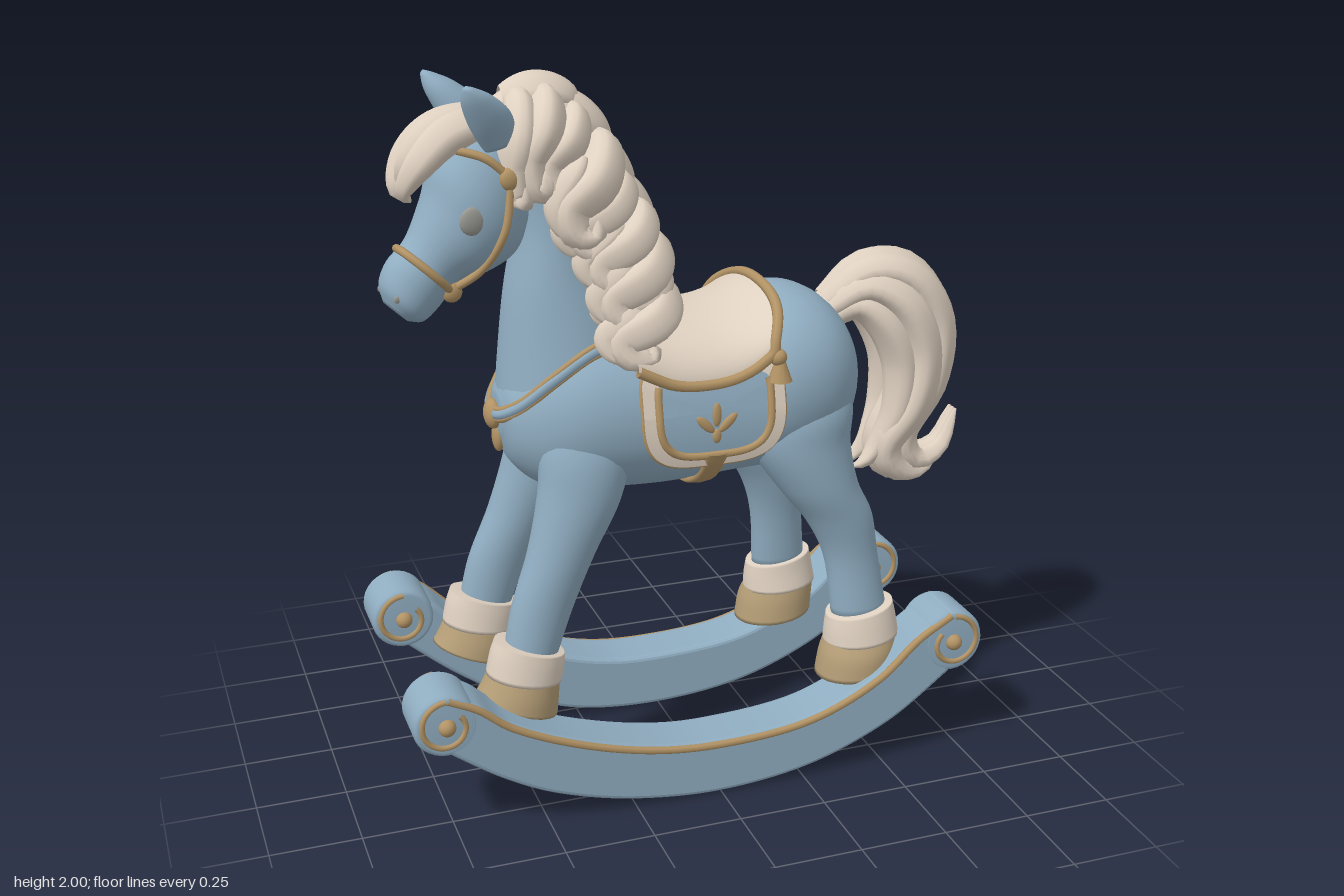
import * as THREE from 'three';
import { mergeVertices } from 'three/addons/utils/BufferGeometryUtils.js';

const mat = (name, color) => Object.assign(
  new THREE.MeshStandardMaterial({ color, side: THREE.DoubleSide }), { name });
const V = (x, y, z = 0) => new THREE.Vector3(x, y, z);
const spline = pts => new THREE.CatmullRomCurve3(pts.map(p => V(...p)), false, 'catmullrom', 0.5);

export function createModel() {
  const blue = mat('paintedBlue', 0x90adc1), cream = mat('cream', 0xdfd1c1);
  const gold = mat('gold', 0xb29365), tan = mat('hoofTan', 0xb59e77), grey = mat('eyeGrey', 0x9a9a94);
  const model = new THREE.Group();
  model.name = 'rockingHorse';

  const add = (name, geo, material, parent = model) => {
    const m = new THREE.Mesh(geo, material);
    m.name = name;
    parent.add(m);
    return m;
  };
  const ball = (name, p, r, material, parent = model, sx = 1, sy = 1, sz = 1) => {
    const m = add(name, new THREE.SphereGeometry(r, 16, 12), material, parent);
    m.position.copy(p);
    m.scale.set(sx, sy, sz);
    return m;
  };

  // Closed loft through oval sections [x1, y1, x2, y2, halfWidth, z]
  function loft(rows, steps = 6, power = 1, sides = 28) {
    const n = rows.length - 1;
    const A = spline(rows.map(r => [r[0], r[1], r[4]])), B = spline(rows.map(r => [r[2], r[3], r[5] || 0]));
    const pw = v => Math.sign(v) * Math.abs(v) ** power;
    const at = (s, deg, grow = 1) => {
      const a = A.getPoint(s / n), b = B.getPoint(s / n), q = deg * Math.PI / 180;
      const c = pw(Math.cos(q)) * grow / 2, w = Math.max(a.z, 0.002) * pw(Math.sin(q)) * grow;
      return V((a.x + b.x) / 2 + (a.x - b.x) * c, (a.y + b.y) / 2 + (a.y - b.y) * c, b.z + w);
    };
    const pos = [], idx = [], N = n * steps;
    for (let i = 0; i <= N; i++)
      for (let j = 0; j < sides; j++) pos.push(...at(i / steps, j * 360 / sides).toArray());
    const a0 = at(0, 0).add(at(0, 180)).multiplyScalar(0.5), a1 = at(n, 0).add(at(n, 180)).multiplyScalar(0.5);
    pos.push(...a0.toArray(), ...a1.toArray());
    const t = a1.clone().sub(a0), h = at(n / 2, 0).sub(at(n / 2, 180));
    const flip = -t.y * h.x + t.x * h.y < 0;
    const tri = (a, b, c) => flip ? idx.push(a, c, b) : idx.push(a, b, c);
    for (let j = 0; j < sides; j++) {
      const k = (j + 1) % sides;
      for (let i = 0; i < N; i++) {
        const p = i * sides, q = p + sides;
        tri(p + j, p + k, q + j);
        tri(p + k, q + k, q + j);
      }
      tri((N + 1) * sides, k, j);
      tri((N + 1) * sides + 1, N * sides + j, N * sides + k);
    }
    const geo = new THREE.BufferGeometry();
    geo.setAttribute('position', new THREE.Float32BufferAttribute(pos, 3));
    geo.setIndex(idx);
    geo.computeVertexNormals();
    return { geo, at };
  }

  const tube = (pts, r, closed = false) => new THREE.TubeGeometry(
    new THREE.CatmullRomCurve3(pts.map(p => p.isVector3 ? p : V(...p)), closed), 64, r, 8, closed);

  // Tapered, fluted lock of hair
  function lock(pts, r) {
    const curve = spline(pts), n = 30, sides = 16;
    let g = new THREE.TubeGeometry(curve, n, 1, sides);
    const p = g.attributes.position, v = V(0, 0);
    for (let i = 0; i <= n; i++) {
      const c = curve.getPointAt(i / n), taper = r * Math.sin(Math.PI * (0.13 + 0.865 * i / n)) ** 0.6;
      for (let j = 0; j <= sides; j++) {
        const k = i * (sides + 1) + j;
        v.fromBufferAttribute(p, k).sub(c).multiplyScalar(taper * (1 + 0.09 * Math.cos(j * Math.PI / 2))).add(c);
        p.setXYZ(k, v.x, v.y, v.z);
      }
    }
    g.deleteAttribute('uv');
    g.deleteAttribute('normal');
    g = mergeVertices(g, 1e-5);
    g.computeVertexNormals();
    return g;
  }

  // Body and neck
  add('body', loft([[-.53, 1.14, -.53, 1.04, .06], [-.5, 1.2, -.5, .95, .13], [-.42, 1.28, -.42, .88, .2],
    [-.3, 1.33, -.3, .86, .245], [-.1, 1.33, -.1, .85, .26], [.1, 1.33, .1, .86, .262], [.25, 1.375, .25, .87, .275],
    [.36, 1.36, .36, .9, .255], [.44, 1.3, .44, .95, .2], [.485, 1.22, .485, 1.03, .12], [.497, 1.15, .497, 1.1, .04]],
    6, 0.93).geo, blue);
  add('neck', loft([[-.53, 1.08, -.12, 1.2, .2], [-.515, 1.25, -.16, 1.36, .17], [-.495, 1.42, -.24, 1.52, .14],
    [-.465, 1.58, -.3, 1.66, .115], [-.47, 1.7, -.36, 1.8, .1], [-.5, 1.78, -.42, 1.87, .08]]).geo, blue);

  // Legs, socks and hooves
  for (const s of [1, -1]) {
    const f = s > 0 ? 0 : -.04, h = s > 0 ? 0 : -.085;
    const leg = (name, rows, dx, m) => add(name, loft(rows.map(([a, b, c, d, w, z]) => {
      const k = dx * Math.min(1, Math.max(0, (1.05 - b) / .5));
      return [a + k, b, c + k, d, w, z * s];
    })).geo, m);
    leg('frontLeg', [[-.42, 1.14, -.2, 1.12, .05, .12], [-.45, 1.02, -.2, 1, .085, .15], [-.46, .9, -.23, .87, .093, .16],
      [-.495, .74, -.31, .72, .08, .17], [-.545, .59, -.375, .57, .067, .175], [-.575, .45, -.43, .42, .062, .18]], f, blue);
    leg('frontSock', [[-.598, .5, -.405, .44, .077, .18], [-.612, .46, -.405, .41, .083, .18], [-.625, .4, -.415, .36, .09, .18]], f, cream);
    leg('frontHoof', [[-.62, .405, -.42, .365, .084, .18], [-.637, .37, -.425, .31, .095, .18], [-.655, .34, -.43, .26, .1, .18]], f, tan);
    leg('hindLeg', [[.2, 1.2, .42, 1.2, .06, .12], [.15, 1.07, .45, 1.06, .1, .155], [.14, .97, .445, .95, .112, .158],
      [.23, .83, .465, .83, .1, .173], [.315, .72, .51, .73, .083, .18], [.37, .6, .53, .6, .066, .19],
      [.392, .42, .555, .44, .064, .205]], h, blue);
    leg('hindSock', [[.375, .43, .572, .465, .08, .208], [.37, .39, .582, .42, .088, .21], [.368, .345, .592, .365, .098, .21]], h, cream);
    leg('hindHoof', [[.37, .355, .588, .37, .092, .21], [.355, .31, .585, .325, .105, .215], [.345, .245, .58, .27, .11, .215]], h, tan);
  }

  // Head group, turned a little towards +z
  const head = new THREE.Group();
  head.name = 'head';
  head.position.x = -.45;
  head.rotation.y = .17;
  model.add(head);
  const inner = new THREE.Group();
  inner.name = 'headParts';
  inner.position.x = .45;
  head.add(inner);
  const skull = loft([[-.5, 1.88, -.42, 1.68, .08], [-.6, 1.87, -.44, 1.6, .12], [-.68, 1.79, -.48, 1.53, .135],
    [-.71, 1.7, -.56, 1.49, .12], [-.76, 1.6, -.635, 1.475, .088], [-.815, 1.545, -.69, 1.415, .082],
    [-.838, 1.49, -.735, 1.382, .075], [-.83, 1.44, -.775, 1.387, .045]]);
  add('skull', skull.geo, blue, inner);
  add('noseband', tube([...Array(16)].map((_, i) => skull.at(4.4, i * 22.5, 1.02)), .011, true), gold, inner);
  const strap = (name, list) => add(name, tube(list.map(([a, b]) => skull.at(a, b, 1.03)), .011), gold, inner);
  for (const s of [1, -1]) {
    strap('cheekStrap', [[.9, 85 * s], [2, 108 * s], [3.2, 132 * s], [4.4, 145 * s]]);
    strap('browband', [[.9, 85 * s], [1.15, 55 * s], [1.5, 25 * s], [1.6, 0]]);
    ball('upperRosette', skull.at(.9, 85 * s, 1.05), .032, gold, inner, 1, 1, .6);
    ball('lowerRosette', skull.at(4.4, 145 * s, 1.08), .028, gold, inner, 1, 1, .7);
    ball('eye', skull.at(2.5, 75 * s, .97), .037, grey, inner, 1, 1, .35);
    ball('nostril', skull.at(6.1, 55 * s, .99), .01, grey, inner, 1, 1, .4);
    add('ear', loft([[-.575, 1.82, -.485, 1.85, .035, .085 * s], [-.615, 1.88, -.51, 1.92, .05, .1 * s],
      [-.645, 1.945, -.565, 1.968, .042, .12 * s], [-.65, 1.985, -.615, 1.992, .022, .135 * s],
      [-.645, 1.998, -.64, 2, .004, .14 * s]]).geo, blue, inner);
    add('forelock', lock([[-.46, 1.88, .02 * s], [-.56, 1.88, .035 * s], [-.66, 1.86, .045 * s],
      [-.735, 1.8, .05 * s], [-.775, 1.73, .03 * s], [-.755, 1.7, .02 * s]], .048), cream, inner);
  }
  add('forelockCentre', lock([[-.45, 1.9, 0], [-.57, 1.885, 0], [-.68, 1.865, 0], [-.75, 1.8, 0], [-.77, 1.73, -.02]], .042), cream, inner);

  // Mane: a core along the crest with rows of curling locks on both sides
  add('maneCore', loft([[-.53, 1.93, -.51, 1.8, .05], [-.42, 1.97, -.42, 1.78, .085], [-.28, 1.88, -.38, 1.66, .12],
    [-.19, 1.71, -.34, 1.53, .15], [-.12, 1.56, -.3, 1.42, .17], [-.08, 1.42, -.26, 1.32, .18], [-.12, 1.32, -.22, 1.3, .09]]).geo, cream);
  const crest = spline([[-.46, 1.93, 0], [-.37, 1.93, 0], [-.27, 1.84, 0], [-.2, 1.71, 0], [-.14, 1.6, 0], [-.115, 1.49, 0], [-.11, 1.42, 0]]);
  for (let i = 0; i < 6; i++) {
    const [a, b, c] = [0, .12, .22].map(d => crest.getPoint(Math.min(1, i * .16 + d)));
    add('maneCrest', lock([[a.x - .03, a.y, 0], [b.x, b.y, 0], [c.x + .015, c.y + .01, 0], [c.x + .02, c.y - .04, 0]], .06), cream);
  }
  for (const s of [1, -1]) for (let i = 0; i <= 8; i++) {
    const t = i / 8, c = crest.getPoint(t), vary = Math.sin(i * 2.4 + s * .5);
    const w = .095 + .115 * t + .012 * vary, d = .2 - .09 * t + .025 * vary, dx = -.02 - .1 * Math.min(1, 2 * t);
    add('maneLock', lock([[c.x, c.y, .01 * s], [c.x + .01, c.y - .01, w * .55 * s], [c.x + dx * .3, c.y - d * .4, w * s],
      [c.x + dx, c.y - d * .75, w * .97 * s], [c.x + dx * .9, c.y - d * 1.1, (w + .01) * s],
      [c.x + dx * .4, c.y - d * 1.1, (w + .02) * s], [c.x + dx * .4, c.y - d * .85, (w + .03) * s]], .05 + .007 * vary), cream);
    if (i > 1) add('maneCurl', lock([[c.x - .06, c.y - .02, w * .8 * s], [c.x + dx * .9, c.y - d * .3, w * .95 * s],
      [c.x + dx * 1.35, c.y - d * .7, w * .9 * s], [c.x + dx * 1.2, c.y - d * 1.05, w * s],
      [c.x + dx * .9, c.y - d, (w + .02) * s]], .038), cream);
  }

  // Tail
  const outer = [[.43, 1.31], [.55, 1.39], [.68, 1.36], [.765, 1.22], [.755, 1.05], [.68, .89], [.72, .8], [.81, .83], [.855, .94]];
  const middle = [[.43, 1.29], [.54, 1.35], [.65, 1.29], [.71, 1.15], [.69, 1.0], [.62, .87], [.65, .79], [.74, .77], [.8, .83]];
  const under = [[.43, 1.26], [.52, 1.3], [.6, 1.24], [.655, 1.12], [.65, .98], [.6, .87], [.56, .82], [.525, .8]];
  for (const [path, z, r] of [[outer, 0, .066], [outer, .04, .053], [outer, -.04, .053], [middle, .065, .056],
    [middle, -.065, .056], [middle, 0, .066], [under, .05, .056], [under, -.05, .056]])
    add('tailLock', lock(path.map(([x, y], i) =>
      [x, y, z * Math.min(1.1, .4 + i * .35) * (i > 6 ? .4 : i > 4 ? .65 : 1)]), r), cream);

  // Saddle seat: an arched sheet with a raised back and gold edging
  const rim = spline([[-.21, 1.25, 1.36], [-.1, 1.2, 1.35], [.03, 1.195, 1.345], [.13, 1.22, 1.36], [.22, 1.265, 1.395]]);
  const seatAt = (u, q) => {
    const r = rim.getPoint(u);
    return V(r.x - .05 * u ** 3 * Math.sin(q) ** 4, r.y + (r.z - r.y) * Math.cos(q), .272 * Math.sin(q));
  };
  const seat = new THREE.PlaneGeometry(1, 1, 20, 28), sp = seat.attributes.position;
  for (let i = 0; i < sp.count; i++) sp.setXYZ(i, ...seatAt(sp.getX(i) + .5, -sp.getY(i) * Math.PI).toArray());
  seat.computeVertexNormals();
  add('saddleSeat', seat, cream);
  const edge = [];
  for (let i = 0; i < 10; i++) edge.push(seatAt(i / 10, Math.PI / 2));
  for (let i = 0; i <= 16; i++) edge.push(seatAt(1, Math.PI / 2 - i * Math.PI / 16));
  for (let i = 9; i >= 0; i--) edge.push(seatAt(i / 10, -Math.PI / 2));
  add('saddleEdge', tube(edge, .015), gold);

  // Saddle flaps: rounded below, square where they tuck under the seat
  const flapAt = (k, q, s, off) => {
    const c = Math.cos(q), n = Math.sin(q), x = .2 * k * Math.sign(c) * Math.abs(c) ** .55;
    const y = 1.12 + k * (n < 0 ? -.15 * Math.abs(n) ** .75 : .125 * n ** .2);
    return V(x, y, s * (.288 - 1.1 * (y - 1.05) ** 2 + off));
  };
  const flap = (k0, k1, s, off) => {
    const g = new THREE.PlaneGeometry(1, 1, 64, 6), p = g.attributes.position;
    for (let i = 0; i < p.count; i++)
      p.setXYZ(i, ...flapAt(k0 + (k1 - k0) * (p.getY(i) + .5), -s * p.getX(i) * 2 * Math.PI, s, off).toArray());
    g.computeVertexNormals();
    return g;
  };
  const arc = (k, s, off) => [...Array(33)].map((_, i) => flapAt(k, Math.PI * (.9 + i * 1.2 / 32), s, off));
  for (const s of [1, -1]) {
    add('flapBorder', flap(.78, 1, s, 0), cream);
    add('flapPanel', flap(0, .8, s, .003), blue);
    add('flapInnerTrim', tube(arc(.79, s, .003), .011), gold);
    add('flapOuterTrim', tube(arc(1, s, -.008), .006), gold);
    const tassel = add('tassel', new THREE.CylinderGeometry(.012, .034, .06, 12), gold);
    tassel.position.set(.185, 1.215, .275 * s);
    ball('tasselKnob', V(.18, 1.25, .272 * s), .024, gold);
    // Petal ornament
    for (const [x, y, a] of [[0, 1.115, 0], [-.032, 1.09, .8], [.032, 1.09, -.8], [0, 1.055, 0]])
      ball('petal', V(x, y, .291 * s), .034, gold, model, .38, y < 1.08 ? .6 : 1, .22).rotation.z = a;
    // Harness: blue strap with gold edges
    const chest = dy => [[-.2, 1.315, .18], [-.3, 1.29, .182], [-.41, 1.22, .175], [-.49, 1.14, .125],
      [-.53, 1.1, .06], [-.54, 1.09, 0]].map(([x, y, z]) => [x, y + dy, z * s]);
    add('chestStrap', tube(chest(0), .015), blue);
    for (const dy of [-.014, .014]) add('chestStrapTrim', tube(chest(dy), .009), gold);
  }
  add('girth', tube([...Array(17)].map((_, i) => {
    const q = Math.PI * (-.12 - .76 * i / 16);
    return V(0, 1.1 + .25 * Math.sin(q), .317 * Math.cos(q));
  }), .011), gold).scale.x = 3;
  ball('chestRosette', V(-.538, 1.085, 0), .042, gold, model, .6, 1, 1);
  ball('chestPendant', V(-.525, 1.02, 0), .035, gold, model, .5, 1.3, .8);

  // Rockers with scrolled, round-edged ends
  for (const s of [1, -1]) {
    const lift = s > 0 ? 0 : .06, up = x => lift * Math.max(0, (-x - .3) / .45);
    const raise = pts => pts.map(([x, y]) => new THREE.Vector2(x, y + up(x)));
    const top = raise([[-.77, .44], [-.69, .4], [-.6, .33], [-.415, .245], [-.2, .185], [0, .167], [.27, .192], [.48, .285], [.6, .39], [.7, .45]]);
    const low = raise([[.7, .262], [.51, .128], [.27, .036], [0, .006], [-.255, .03], [-.47, .09], [-.625, .168], [-.77, .27]]);
    const shape = new THREE.Shape();
    shape.moveTo(top[0].x, top[0].y);
    shape.splineThru(top.slice(1));
    shape.lineTo(low[0].x, low[0].y);
    shape.splineThru(low.slice(1));
    const beam = add('rocker', new THREE.ExtrudeGeometry(shape, { depth: .12, curveSegments: 40,
      bevelThickness: .018, bevelSize: .014, bevelOffset: -.012, bevelSegments: 3 }), blue);
    beam.position.z = s * .275 - .06;
    const ends = [[-.775, .355 + up(-.772), .09], [.708, .357, .094]];
    for (const [x, y, r] of ends) {
      const round = [[0, -.083], [r - .016, -.083], [r - .005, -.078], [r, -.067], [r, .067], [r - .005, .078], [r - .016, .083], [0, .083]];
      const scroll = add('rockerScroll', new THREE.LatheGeometry(round.map(p => new THREE.Vector2(...p)), 32), blue);
      scroll.rotation.x = Math.PI / 2;
      scroll.position.set(x, y, s * .272);
      const dir = x < 0 ? 1 : -1;
      for (const z of [.189, .355]) {
        ball('scrollKnob', V(x, y, s * z), .024, gold);
        add('scrollTrim', tube([...Array(19)].map((_, i) => {
          const q = Math.PI / 2 + dir * i * .3, rr = (r - .014) * (1 - i * .022);
          return V(x + rr * Math.cos(q), y + rr * Math.sin(q), s * z);
        }), .008), gold);
      }
    }
    add('rockerTrim', tube(top.map(p => V(p.x, p.y - .011, s * .349)), .011), gold);
  }
  return model;
}
